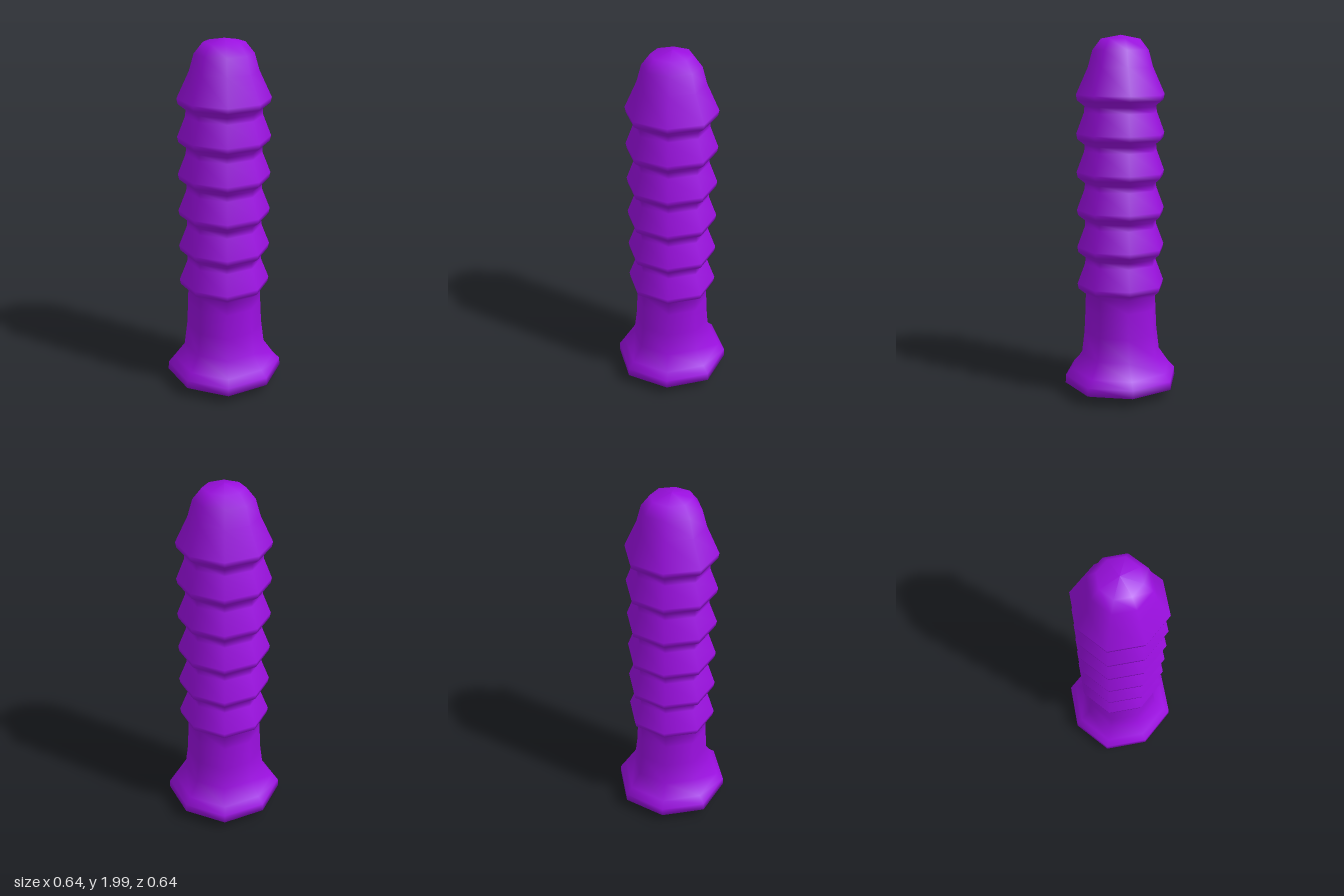
import * as THREE from 'three';

export function createModel() {
  const group = new THREE.Group();

  // flared foot and plain lower shaft, as [radius, height]
  const profile = [
    [0, 0.006], [0.225, 0.024], [0.32, 0.062], [0.318, 0.108], [0.283, 0.145],
    [0.225, 0.23], [0.209, 0.36], [0.202, 0.5],
  ];

  // stacked skirts: tight groove, lip, then a taper up to the next groove
  const rings = 6, first = 0.578, pitch = 0.209;
  for (let i = 0; i < rings; i++) {
    const y = first + i * pitch;
    profile.push([0.2, y], [0.24, y + 0.032], [0.246, y + 0.062]);
    if (i < rings - 1) profile.push([0.203, y + 0.175]);
  }

  // rounded tip
  profile.push([0.18, 1.83], [0.155, 1.92], [0.108, 1.98], [0, 2]);

  const geometry = new THREE.LatheGeometry(profile.map(([r, y]) => new THREE.Vector2(r, y)), 8);

  // the diagonal corners stand out slightly further than the axial ones
  const pos = geometry.attributes.position;
  for (let i = 0; i < pos.count; i++) {
    const x = pos.getX(i), z = pos.getZ(i);
    if (Math.min(Math.abs(x), Math.abs(z)) > 0.01) {
      pos.setX(i, x * 1.03);
      pos.setZ(i, z * 1.03);
    }
  }

  const body = new THREE.Mesh(geometry, new THREE.MeshStandardMaterial({ color: 0x9b0fe0 }));
  body.name = 'ribbedBody';
  group.add(body);
  return group;
}
